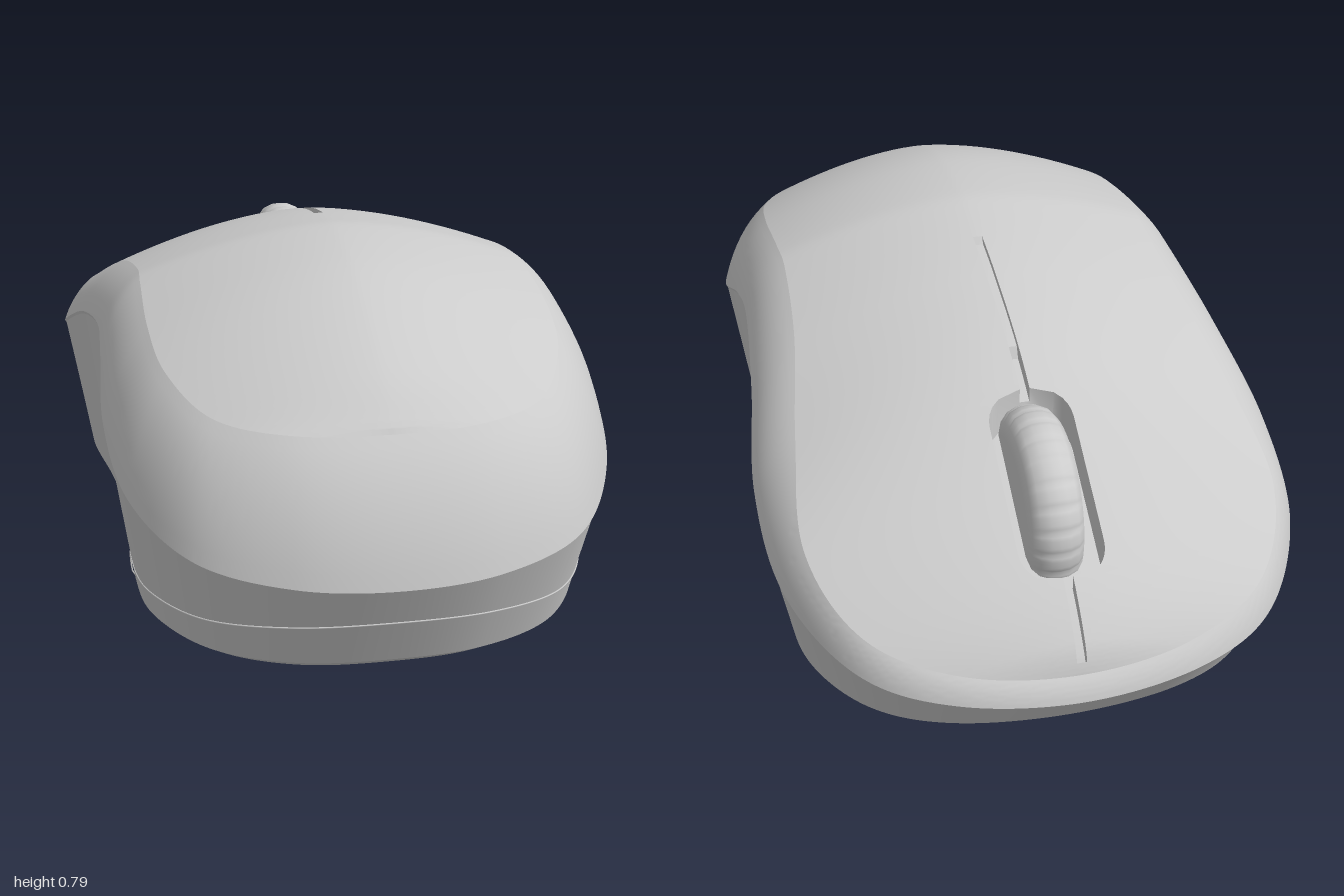
import * as THREE from 'three';
import { toCreasedNormals } from 'three/addons/utils/BufferGeometryUtils.js';

const N = 480; // samples around each outline
const HALF = N / 2;
const V = (x, y, z) => new THREE.Vector3(x, y, z);

// Closed outline from a half outline (rear centre -> +x side -> front centre), mirrored
function ring(half) {
  const right = half.map(p => V(...p));
  const left = half.slice(1, -1).reverse().map(([x, y, z]) => V(-x, y, z));
  const curve = new THREE.CatmullRomCurve3([...right, ...left], true, 'catmullrom', 0.5);
  return Array.from({ length: N }, (_, i) => curve.getPoint(i / N));
}

// Surface through rows of points
function surface(rows, closed, crease = 0.6) {
  const n = rows[0].length, pos = [], index = [];
  rows.forEach(r => r.forEach(p => pos.push(p.x, p.y, p.z)));
  for (let j = 0; j < rows.length - 1; j++) {
    for (let i = 0; i < (closed ? n : n - 1); i++) {
      const k = (i + 1) % n;
      const a = j * n + i, b = j * n + k, c = b + n, d = a + n;
      index.push(a, b, c, a, c, d);
    }
  }
  const g = new THREE.BufferGeometry();
  g.setAttribute('position', new THREE.Float32BufferAttribute(pos, 3));
  g.setIndex(index);
  return toCreasedNormals(g, crease);
}

// Half width and depth of the centre channel and wheel well at z
function channel(z) {
  const d = Math.abs(z + 0.655);
  if (d < 0.184) {
    const e = Math.max(0, d - 0.125);
    return { h: d < 0.125 ? 0.095 : 0.035 + Math.sqrt(0.0036 - e * e), depth: 0.09 };
  }
  if (z < -0.35 && z > -0.96) return { h: 0.011, depth: 0.035 };
  if (z < -0.02 && z > -0.96) return { h: 0.011, depth: 0.014 };
  return { h: 0.011, depth: 0 };
}

export function createModel() {
  const group = new THREE.Group();
  const mat = new THREE.MeshStandardMaterial({ color: 0xcccccc });
  const add = (name, geo, x = 0, y = 0, z = 0) => {
    const mesh = new THREE.Mesh(geo, mat);
    mesh.name = name;
    mesh.position.set(x, y, z);
    group.add(mesh);
    return mesh;
  };

  // Outlines: base edge, seam between wall and shell, crease around the top panel
  const base = ring([[0, 0.05, 0.88], [0.2, 0.05, 0.86], [0.37, 0.05, 0.77], [0.475, 0.05, 0.6],
    [0.5, 0.05, 0.42], [0.49, 0.05, 0.24], [0.487, 0.05, 0.1], [0.51, 0.05, -0.15],
    [0.545, 0.05, -0.4], [0.525, 0.05, -0.6], [0.42, 0.05, -0.77], [0.25, 0.05, -0.86], [0, 0.05, -0.89]]);
  const seam = ring([[0, 0.27, 0.995], [0.22, 0.277, 0.965], [0.41, 0.302, 0.86], [0.525, 0.358, 0.66],
    [0.56, 0.447, 0.45], [0.55, 0.537, 0.25], [0.546, 0.558, 0.1], [0.57, 0.505, -0.15],
    [0.604, 0.4, -0.4], [0.58, 0.305, -0.65], [0.46, 0.233, -0.86], [0.27, 0.2, -0.965], [0, 0.185, -1]]);
  const top = [[0, 0.55, 0.85, 0.55], [0.2, 0.551, 0.825, 0.575], [0.35, 0.56, 0.73, 0.645],
    [0.43, 0.605, 0.57, 0.72], [0.452, 0.65, 0.4, 0.77], [0.45, 0.684, 0.2, 0.79],
    [0.447, 0.682, 0.08, 0.782], [0.463, 0.63, -0.15, 0.74], [0.505, 0.525, -0.4, 0.66],
    [0.53, 0.41, -0.65, 0.515], [0.44, 0.31, -0.84, 0.395], [0.25, 0.255, -0.94, 0.3], [0, 0.235, -0.97, 0.235]];
  const crease = ring(top.map(([x, y, z]) => [x, y, z]));
  const spine = ring(top.map(([, , z, s]) => [0, s, z]));
  const foot = base.map(p => V(p.x * 0.94, 0.02, p.z * 0.95));
  const wallAt = (i, k) => base[i].clone().lerp(seam[i], k);

  // Side wall and its chamfered lower edge
  const wallTop = base.map((_, i) => wallAt(i, 0.985).multiply(V(0.995, 1, 0.995)));
  add('sideWall', surface([base, wallTop], true));
  add('baseChamfer', surface([foot, base], true));

  // Rounded shell band from the seam up to the crease
  const band = [wallTop];
  for (let s = 0; s <= 10; s++) {
    band.push(seam.map((a, i) => {
      const b = crease[i];
      const m = a.clone().lerp(b, 0.3);
      m.y = a.y + (b.y - a.y) * 0.64;
      return new THREE.QuadraticBezierCurve3(a, m, b).getPoint(s / 10);
    }));
  }
  add('shellBand', surface(band, true));

  // Domed top panel with the channel and wheel well sunk into it
  const rows = [];
  for (let i = 0; i <= HALF; i++) {
    const { x: w, y: c, z } = crease[i], s = spine[i].y;
    const { h: want, depth } = channel(z);
    const h = Math.min(want, Math.max(w, 0) * 0.3);
    const at = (x, sink) => {
      const u = w > 1e-5 ? Math.min(1, Math.abs(x) / w) : 1;
      return V(x, c + (s - c) * (1 - u ** 1.7) - sink, z);
    };
    const half = [at(0, depth), at(h, depth)];
    for (let k = 0; k <= 14; k++) half.push(at(h + (w - h) * k / 14, 0));
    const mirror = half.slice(1).reverse().map(p => V(-p.x, p.y, p.z));
    rows.push([...mirror, ...half]);
  }
  add('topPanel', surface(rows, false));

  // Scroll wheel with shallow ribs on its tread
  const profile = [[0, -0.063], [0.15, -0.063], [0.178, -0.057], [0.197, -0.042], [0.207, -0.02],
    [0.209, 0], [0.207, 0.02], [0.197, 0.042], [0.178, 0.057], [0.15, 0.063], [0, 0.063]];
  const wheelGeo = new THREE.LatheGeometry(profile.map(p => new THREE.Vector2(...p)), 144);
  const wp = wheelGeo.attributes.position;
  for (let i = 0; i < wp.count; i++) {
    const x = wp.getX(i), z = wp.getZ(i);
    const k = Math.hypot(x, z) > 0.19 ? 1 - 0.02 * Math.max(0, Math.cos(Math.atan2(z, x) * 24)) ** 4 : 1;
    wp.setX(i, x * k);
    wp.setZ(i, z * k);
  }
  wheelGeo.computeVertexNormals();
  wheelGeo.rotateZ(Math.PI / 2);
  add('scrollWheel', wheelGeo, 0, 0.415, -0.585);

  // Battery door seam around the rear wall, its ends turned into the body
  const doorLine = [];
  for (let i = -82; i <= 82; i += 4) {
    const j = (i + N) % N;
    const y = 0.17 - 0.058 * (base[j].x / 0.5) ** 2;
    doorLine.push(wallAt(j, (y - 0.05) / (seam[j].y - 0.05)));
  }
  const inside = p => V(p.x * 0.95, 0.06, p.z);
  doorLine.unshift(inside(base[N - 82]), base[N - 82].clone());
  doorLine.push(base[82].clone(), inside(base[82]));
  const doorPath = new THREE.CatmullRomCurve3(doorLine, false, 'centripetal');
  add('batteryDoorSeam', new THREE.TubeGeometry(doorPath, 140, 0.002, 6));

  // Underside plate with open trays sunk into it: [name, x, z, width, length, depth]
  const plate = new THREE.Shape(foot.map(p => new THREE.Vector2(p.x, p.z)));
  const trays = [['labelRecess', 0.155, -0.32, 0.53, 0.45, 0.012], ['switchRecess', 0.29, 0.05, 0.16, 0.22, 0.04],
    ['sensorRecess', -0.29, -0.41, 0.15, 0.16, 0.05], ['latchRecess', -0.155, 0.09, 0.22, 0.2, 0.012]];
  for (const [name, x, z, w, l, d] of trays) {
    const corners = [[-1, 1], [-1, -1], [1, -1], [1, 1]].map(([a, b]) => [x + a * w / 2, z + b * l / 2]);
    plate.holes.push(new THREE.Path(corners.map(p => new THREE.Vector2(...p))));
    const level = y => corners.map(([a, b]) => V(a, y, b));
    add(name, surface([level(0.02), level(0.02 + d), corners.map(() => V(x, 0.02 + d, z))], true));
  }
  add('undersidePlate', new THREE.ShapeGeometry(plate).rotateX(Math.PI / 2), 0, 0.02, 0);
  add('powerSwitch', new THREE.BoxGeometry(0.08, 0.03, 0.09), 0.29, 0.047, 0.07);
  add('switchNub', new THREE.SphereGeometry(0.02, 16, 10), 0.29, 0.039, 0.07);
  add('sensorRim', new THREE.CylinderGeometry(0.045, 0.04, 0.065, 32), -0.29, 0.038, -0.41);

  // Battery door edges on the underside
  add('doorRearEdge', new THREE.BoxGeometry(0.92, 0.004, 0.004), 0, 0.02, 0.43);
  for (const s of [-1, 1]) add('doorSideEdge', new THREE.BoxGeometry(0.004, 0.004, 0.42), s * 0.385, 0.02, 0.22);

  // Glide feet
  const pad = (name, x, z, rx, rz, bottom) => {
    const geo = new THREE.CylinderGeometry(1, 0.97, 0.025 - bottom, 48);
    add(name, geo, x, (0.025 + bottom) / 2, z).scale.set(rx, 1, rz);
  };
  pad('rearFoot', 0, 0.69, 0.24, 0.085, 0.01);
  for (const s of [-1, 1]) pad(s > 0 ? 'frontLeftFoot' : 'frontRightFoot', s * 0.32, -0.64, 0.063, 0.066, 0);

  return group;
}
